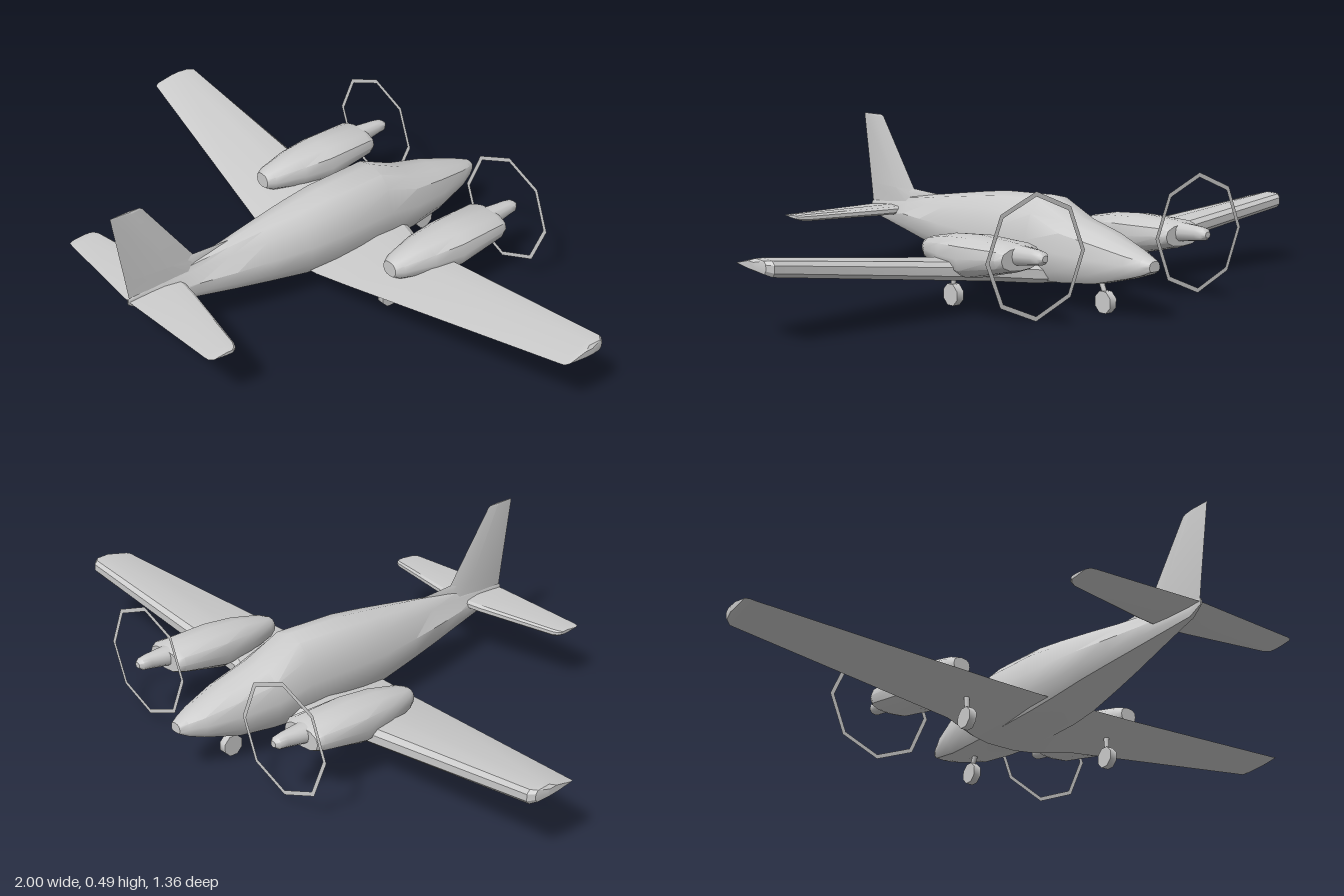
import * as THREE from 'three';
import { toCreasedNormals } from 'three/addons/utils/BufferGeometryUtils.js';

const material = new THREE.MeshStandardMaterial({ color: 0xcccccc, side: THREE.DoubleSide });

function add(parent, name, geometry, x = 0, y = 0, z = 0) {
  const mesh = new THREE.Mesh(geometry, material);
  mesh.name = name;
  mesh.position.set(x, y, z);
  parent.add(mesh);
  return mesh;
}

// Skin a list of closed rings of [x, y, z] points and cap both ends
function loft(rings, crease = 0.6) {
  const n = rings[0].length;
  const tris = [];
  for (let i = 0; i < rings.length - 1; i++) {
    for (let j = 0; j < n; j++) {
      const k = (j + 1) % n;
      const [a, b, c, d] = [rings[i][j], rings[i][k], rings[i + 1][k], rings[i + 1][j]];
      tris.push([a, b, c], [a, c, d]);
    }
  }
  const first = rings[0], last = rings[rings.length - 1];
  for (let j = 1; j < n - 1; j++) {
    tris.push([first[0], first[j + 1], first[j]], [last[0], last[j], last[j + 1]]);
  }
  // Turn every triangle outward if the enclosed volume is negative
  let volume = 0;
  const [a, b, c] = [new THREE.Vector3(), new THREE.Vector3(), new THREE.Vector3()];
  for (const t of tris) volume += a.fromArray(t[0]).dot(b.fromArray(t[1]).cross(c.fromArray(t[2])));
  if (volume < 0) tris.forEach((t) => t.reverse());
  const g = new THREE.BufferGeometry();
  g.setAttribute('position', new THREE.Float32BufferAttribute(tris.flat(2), 3));
  return toCreasedNormals(g, crease);
}

// Body section: stations of [z, half width, bottom, top, shoulder width factor]
function body(stations, half) {
  return stations.map(([z, w, bottom, top, shoulder = 1]) => {
    const side = half.map(([u, v]) => [u * w * (v > 0.6 ? shoulder : 1), bottom + v * (top - bottom), z]);
    const mirror = side.slice(1, -1).reverse().map(([x, y, zz]) => [-x, y, zz]);
    return [...side, ...mirror];
  });
}

// Aerofoil surface spanning x: stations of [x, lead z, trail z, bottom y, thickness, trail y]
const foil = [[0, 0.25], [0, 0.7], [0.06, 0.95], [0.35, 1], [1, null], [0.4, 0.08], [0.06, 0]];
function surface(halfStations) {
  const mirror = halfStations.slice().reverse().map(([x, ...rest]) => [-x, ...rest]);
  return loft([...mirror, ...halfStations].map(([x, lead, trail, bottom, thick, trailY]) =>
    foil.map(([u, v]) => [x, v === null ? trailY : bottom + v * thick, lead + u * (trail - lead)])), 0.5);
}

export function createModel() {
  const plane = new THREE.Group();
  plane.name = 'twinEngineAircraft';

  // Fuselage, nose towards -z
  const hullHalf = [[0, 1], [0.5, 0.95], [0.86, 0.8], [1, 0.5], [0.98, 0.22], [0.75, 0.03], [0, 0]];
  add(plane, 'fuselage', loft(body([
    [-0.68, 0.02, 0.145, 0.175],
    [-0.655, 0.035, 0.132, 0.185],
    [-0.61, 0.055, 0.117, 0.2],
    [-0.5, 0.085, 0.088, 0.235],
    [-0.38, 0.103, 0.075, 0.262],
    [-0.26, 0.112, 0.068, 0.316, 0.92],
    [-0.05, 0.112, 0.07, 0.306, 0.9],
    [0.05, 0.105, 0.078, 0.293, 0.85],
    [0.18, 0.088, 0.097, 0.274, 0.75],
    [0.3, 0.067, 0.113, 0.256, 0.6],
    [0.42, 0.043, 0.13, 0.24, 0.5],
    [0.54, 0.02, 0.147, 0.218, 0.5],
    [0.6, 0.009, 0.155, 0.207, 0.6],
    [0.64, 0.003, 0.18, 0.2],
  ], hullHalf), 0.65));

  // Low wing with dihedral and swept root fillets
  add(plane, 'wing', surface([
    [0.05, -0.345, 0.045, 0.07, 0.06, 0.09],
    [0.11, -0.33, 0.04, 0.073, 0.06, 0.093],
    [0.24, -0.28, 0.016, 0.088, 0.058, 0.108],
    [0.975, -0.28, -0.119, 0.188, 0.046, 0.205],
    [0.992, -0.265, -0.122, 0.196, 0.037, 0.208],
    [1, -0.225, -0.135, 0.203, 0.022, 0.212],
  ]));

  // Tailplane
  add(plane, 'tailplane', surface([
    [0.02, 0.46, 0.637, 0.176, 0.026, 0.19],
    [0.08, 0.467, 0.633, 0.176, 0.026, 0.19],
    [0.345, 0.515, 0.616, 0.178, 0.022, 0.19],
    [0.362, 0.523, 0.613, 0.181, 0.017, 0.19],
    [0.37, 0.535, 0.6, 0.185, 0.01, 0.19],
  ]));

  // Fin with a long root fillet: rows of [y, lead z, trail z, half thickness]
  const finRows = [[0.19, 0.27, 0.635, 0.016], [0.26, 0.41, 0.645, 0.013], [0.485, 0.575, 0.68, 0.005], [0.49, 0.585, 0.68, 0.003]];
  add(plane, 'fin', loft(finRows.map(([y, lead, trail, t]) => {
    const mid = lead + (trail - lead) * 0.35;
    return [[0, y, lead], [t, y, mid], [0, y, trail], [-t, y, mid]];
  }), 0.4));
  const dorsal = [[0.27, 0.003, 0.2, 0.258], [0.34, 0.006, 0.2, 0.26], [0.42, 0.011, 0.2, 0.263], [0.46, 0.008, 0.2, 0.27]];
  add(plane, 'dorsalFillet', loft(body(dorsal, [[0, 1], [0.6, 0.8], [1, 0], [0, 0]])));

  // Engines, propeller discs and main wheels on both sides
  const podHalf = [[0, 1], [0.55, 0.95], [0.9, 0.78], [1, 0.5], [0.9, 0.22], [0.55, 0.05], [0, 0]];
  for (const [side, s] of [['left', 1], ['right', -1]]) {
    const x = 0.315 * s;
    const engine = new THREE.Group();
    engine.name = side + 'Engine';
    engine.position.x = x;
    plane.add(engine);
    add(engine, 'nacelle', loft(body([
      [-0.482, 0.07, 0.158, 0.222],
      [-0.462, 0.081, 0.15, 0.232],
      [-0.3, 0.084, 0.112, 0.236],
      [-0.2, 0.07, 0.118, 0.228],
      [-0.1, 0.043, 0.138, 0.208],
      [-0.075, 0.028, 0.15, 0.198],
    ], podHalf), 0.7));
    add(engine, 'spinner', loft(body([
      [-0.47, 0.034, 0.17, 0.228],
      [-0.545, 0.023, 0.182, 0.225],
      [-0.57, 0.02, 0.185, 0.221],
      [-0.582, 0.01, 0.194, 0.212],
    ], podHalf), 0.7));
    const disc = add(engine, 'propellerDisc', new THREE.RingGeometry(0.164, 0.178, 8, 1), 0, 0.205, -0.545);
    disc.rotation.z = Math.PI / 2;
    addWheel(plane, side + 'MainWheel', 0.263 * s, -0.12, -0.125, 0.11);
  }
  addWheel(plane, 'noseWheel', 0, -0.485, -0.462, 0.1);
  return plane;
}

// Eight-sided wheel with a slanted leg
function addWheel(parent, name, x, z, topZ, topY) {
  const gear = new THREE.Group();
  gear.name = name;
  parent.add(gear);
  const tyre = new THREE.CylinderGeometry(0.034, 0.034, 0.024, 8);
  tyre.rotateY(Math.PI / 8).rotateZ(Math.PI / 2);
  const r = 0.034 * Math.cos(Math.PI / 8);
  add(gear, 'tyre', toCreasedNormals(tyre, 0.9), x, r, z);
  const from = new THREE.Vector3(x, 0.05, z), to = new THREE.Vector3(x, topY, topZ);
  const leg = add(gear, 'leg', new THREE.CylinderGeometry(0.009, 0.007, from.distanceTo(to), 6));
  leg.position.copy(from).lerp(to, 0.5);
  leg.quaternion.setFromUnitVectors(new THREE.Vector3(0, 1, 0), to.sub(from).normalize());
}
